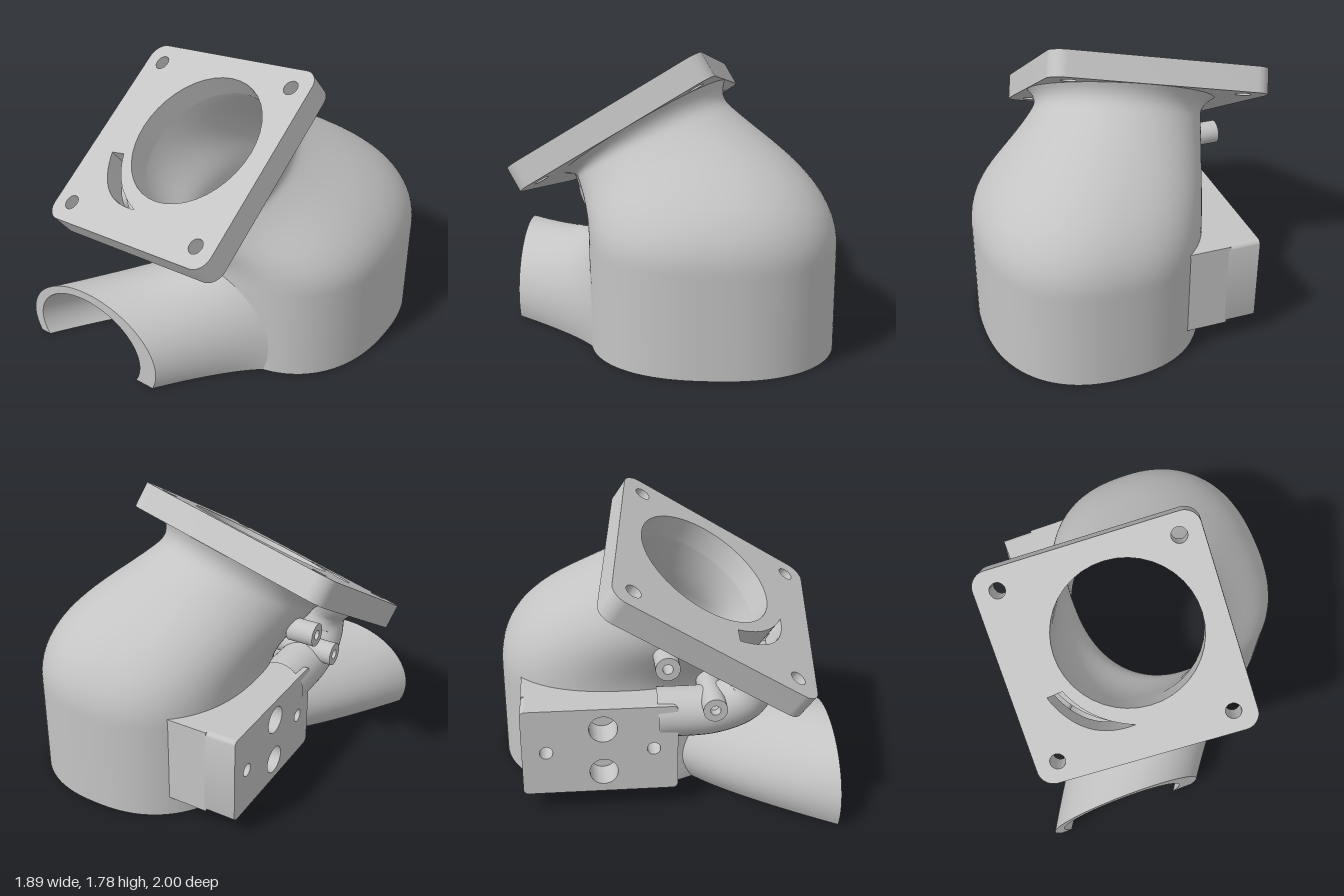
import * as THREE from 'three';
import { toCreasedNormals } from 'three/addons/utils/BufferGeometryUtils.js';

const V = (x, y, z) => new THREE.Vector3(x, y, z);
const lerp = THREE.MathUtils.lerp;
const metal = new THREE.MeshStandardMaterial({ color: 0xc4c4c4, side: THREE.DoubleSide });
metal.name = 'cast grey';

// Smooth surface from fn(s, t); closed joins s = 1 to s = 0, cells wholly inside hole(point) are left out
function grid(fn, ns, nt, closed = false, hole = null) {
  const cols = closed ? ns : ns + 1, pts = [], idx = [];
  for (let j = 0; j <= nt; j++)
    for (let i = 0; i < cols; i++) pts.push(fn(i / ns, j / nt));
  for (let j = 0; j < nt; j++)
    for (let i = 0; i < ns; i++) {
      const k = (i + 1) % cols;
      const a = j * cols + i, b = j * cols + k, c = a + cols, d = b + cols;
      if (hole && [a, b, c, d].every(n => hole(pts[n]))) continue;
      idx.push(a, c, b, b, c, d);
    }
  const g = new THREE.BufferGeometry().setFromPoints(pts);
  g.setIndex(idx);
  g.computeVertexNormals();
  return g;
}

const bezier = (a, b, c, d, t) => new THREE.CubicBezierCurve3(a, b, c, d).getPoint(t);

// Tilted flange frame: X along its width, Y up its slope, Z out of its face
const N = V(-0.222, 0.832, 0.508).normalize();
const SLOPE = V(0, 0.522, -0.853).projectOnPlane(N).normalize();
const WIDE = SLOPE.clone().cross(N);
const CENTRE = V(-0.25, 1.312, 0.333), THICK = 0.16;
const BORE = [0.09, 0.08];
const onFlange = (a, b, h) => CENTRE.clone().addScaledVector(WIDE, a).addScaledVector(SLOPE, b).addScaledVector(N, h);

// Housing plan: a slightly squared ellipse
const CX = 0.265, CZ = -0.252, RX = 0.678, RZ = 0.748, EXP = 2.35, WALL = 0.075, STRAIGHT = 0.63;
const bulge = f => Math.max(0, 1 - Math.abs(f) ** EXP) ** (1 / EXP);
const squared = v => Math.sign(v) * Math.abs(v) ** (2 / EXP);

// Duct mouth in the housing front: an ellipse in x and y
const MOUTH = { x: 0.08, y: 0.18 };
const mouthRadius = (p, rx, ry) => Math.hypot((p.x - MOUTH.x) / rx, (p.y - MOUTH.y) / ry);
const inMouth = (rx, ry) => p => p.z > CZ && mouthRadius(p, rx, ry) < 1.001;

// Main housing: upright barrel bending into the round neck, which flares out at the flange
function housing(inset, neck, flare, lead, rx, ry) {
  return (s, t) => {
    const q = s * Math.PI * 2, c = Math.cos(q), n = Math.sin(q);
    const p0 = V(CX + (RX - inset) * squared(c), 0, CZ + (RZ - inset) * squared(n));
    if (t < 1 / 3) {
      p0.y = STRAIGHT * t * 3;
      const m = mouthRadius(p0, rx, ry);
      // Points near the mouth move onto its edge
      if (n > 0 && Math.abs(m - 1) < 0.13) {
        if (p0.y < MOUTH.y)
          p0.x = MOUTH.x + Math.sign(p0.x - MOUTH.x) * rx * Math.sqrt(1 - ((p0.y - MOUTH.y) / ry) ** 2);
        else p0.set(MOUTH.x + (p0.x - MOUTH.x) / m, MOUTH.y + (p0.y - MOUTH.y) / m, 0);
        p0.z = CZ + (RZ - inset) * bulge((p0.x - CX) / (RX - inset));
      }
      return p0;
    }
    p0.y = STRAIGHT;
    const p1 = onFlange(BORE[0] + neck * c, BORE[1] - neck * n, -THICK + 0.005);
    const chord = p1.clone().sub(p0);
    const c0 = p0.clone().add(V(0, chord.length() * 0.36, 0));
    const c1 = p1.clone().addScaledVector(N, -lead).addScaledVector(chord, -0.2);
    const u = (t - 1 / 3) * 1.5, out = flare * Math.max(0, (u - 0.85) / 0.15) ** 2;
    return bezier(p0, c0, c1, p1, u).addScaledVector(WIDE, out * c).addScaledVector(SLOPE, -out * n);
  };
}

// Side duct: ellipse arch on the housing wall swept to the front outlet
function duct(inset, wall, outlet) {
  const arch = (cx, cy, rx, ry, s) => {
    const a = Math.asin(cy / ry), q = -a + (Math.PI + 2 * a) * s;
    return V(cx + rx * Math.cos(q), Math.max(0, cy + ry * Math.sin(q)), 1);
  };
  return (s, t) => {
    const p0 = arch(MOUTH.x, MOUTH.y, 0.43 - inset, 0.47 - inset, s);
    p0.z = CZ + (RZ - wall) * bulge((p0.x - CX) / (RX - wall));
    const p1 = arch(...outlet, s);
    const mix = (x, y, z) => V(lerp(p0.x, p1.x, x), lerp(p0.y, p1.y, y), lerp(p0.z, p1.z, z));
    return bezier(p0, mix(0.33, 0.8, 0.22), mix(0.72, 1, 0.66), p1, t);
  };
}

function roundedRect(w, h, r) {
  const s = new THREE.Shape(), x = w / 2, y = h / 2;
  s.absarc(x - r, y - r, r, 0, Math.PI / 2);
  s.absarc(-x + r, y - r, r, Math.PI / 2, Math.PI);
  s.absarc(-x + r, -y + r, r, Math.PI, Math.PI * 1.5);
  s.absarc(x - r, -y + r, r, Math.PI * 1.5, Math.PI * 2);
  return s.closePath();
}
const circle = (x, y, r) => new THREE.Path().absarc(x, y, r, 0, Math.PI * 2, true);
const extrude = (shape, depth) => toCreasedNormals(
  new THREE.ExtrudeGeometry(shape, { depth, bevelEnabled: false, curveSegments: 20 }), 0.6);

export function createModel() {
  const model = new THREE.Group();
  const add = (name, geometry) => {
    const m = new THREE.Mesh(geometry, metal);
    m.name = name;
    model.add(m);
    return m;
  };

  // Housing walls and bottom rim
  const outer = housing(0, 0.505, 0.09, 0.08, 0.415, 0.445);
  const inner = housing(WALL, 0.45, 0, 0.2, 0.33, 0.37);
  add('housingOuter', grid(outer, 128, 60, true, inMouth(0.415, 0.445)));
  add('housingInner', grid(inner, 128, 60, true, inMouth(0.33, 0.37)));
  add('housingRim', grid((s, t) => outer(s, 0).lerp(inner(s, 0), t), 128, 1, true, inMouth(0.415, 0.445)));

  // Side duct walls, outlet rim and the two cut bottom edges
  const dOut = duct(0, 0, [-0.45, 0.14, 0.5, 0.385]);
  const dIn = duct(0.1, WALL, [-0.48, 0.14, 0.405, 0.325]);
  add('ductOuter', grid(dOut, 56, 28));
  add('ductInner', grid(dIn, 56, 28));
  add('ductOutletRim', grid((s, t) => dOut(s, 1).lerp(dIn(s, 1), t), 56, 1));
  for (const side of [0, 1])
    add('ductBottomEdge', grid((s, t) => dOut(side, s).lerp(dIn(side, s), t), 28, 1));

  // Square flange with bore, bolt holes and crescent port
  const plate = roundedRect(1.37, 1.355, 0.1);
  plate.holes.push(circle(BORE[0], BORE[1], 0.45));
  for (const x of [-0.545, 0.545])
    for (const y of [-0.545, 0.545]) plate.holes.push(circle(x, y, 0.048));
  const port = new THREE.Path();
  port.moveTo(-0.48, -0.15);
  port.lineTo(-0.38, -0.14);
  port.quadraticCurveTo(-0.28, -0.37, -0.03, -0.46);
  port.quadraticCurveTo(-0.36, -0.49, -0.48, -0.15);
  plate.holes.push(port);
  const flange = add('flange', extrude(plate, THICK));
  flange.quaternion.setFromRotationMatrix(new THREE.Matrix4().makeBasis(WIDE, SLOPE, N));
  flange.position.copy(onFlange(0, 0, -THICK));

  // Bypass pipe from the crescent port back to the valve block
  const path = new THREE.CatmullRomCurve3([
    V(-0.49, 0.96, 0.54), V(-0.48, 0.82, 0.53), V(-0.49, 0.68, 0.485),
    V(-0.5, 0.6, 0.3), V(-0.49, 0.58, -0.04)]);
  add('bypassPipe', grid((s, t) => {
    const q = s * Math.PI * 2, k = Math.min(1, t * 3), tan = path.getTangent(t);
    const e1 = V(0.75, -0.18, 0.64).lerp(V(1, 0, 0), k).projectOnPlane(tan).normalize();
    const e2 = tan.clone().cross(e1);
    return path.getPoint(t).addScaledVector(e1, Math.cos(q) * lerp(0.28, 0.155, k))
      .addScaledVector(e2, Math.sin(q) * lerp(0.12, 0.15, k));
  }, 32, 28, true));

  // Valve block face with two ports and two screw holes
  const face = roundedRect(0.93, 0.56, 0.03);
  for (const y of [-0.145, 0.145]) face.holes.push(circle(0.02, y, 0.085));
  for (const x of [-0.32, 0.32]) face.holes.push(circle(x, 0, 0.04));
  const block = add('valveBlock', extrude(face, 0.2));
  block.rotation.y = -Math.PI / 2;
  block.position.set(-0.43, 0.41, -0.395);

  // Block root following the housing wall
  const root = new THREE.Shape();
  root.moveTo(-0.44, -0.86);
  for (let i = 0; i <= 12; i++) {
    const z = lerp(-0.86, 0.07, i / 12);
    root.lineTo(CX - (RX - 0.035) * bulge((z - CZ) / (RZ - 0.035)), z);
  }
  root.lineTo(-0.44, 0.07);
  root.closePath();
  const rootMesh = add('valveBlockRoot', extrude(root, 0.56));
  rootMesh.rotation.x = Math.PI / 2;
  rootMesh.position.y = 0.69;

  // Two hose stubs with small bores
  const stub = (y, z, endX) => {
    const ring = new THREE.Shape().absarc(0, 0, 0.072, 0, Math.PI * 2);
    ring.holes.push(circle(0, 0, 0.03));
    const m = add('hoseStub', extrude(ring, endX + 0.7));
    m.rotation.y = Math.PI / 2;
    m.position.set(-0.7, y, z);
  };
  stub(0.97, 0, -0.53);
  stub(0.69, 0.28, -0.28);

  return model;
}
